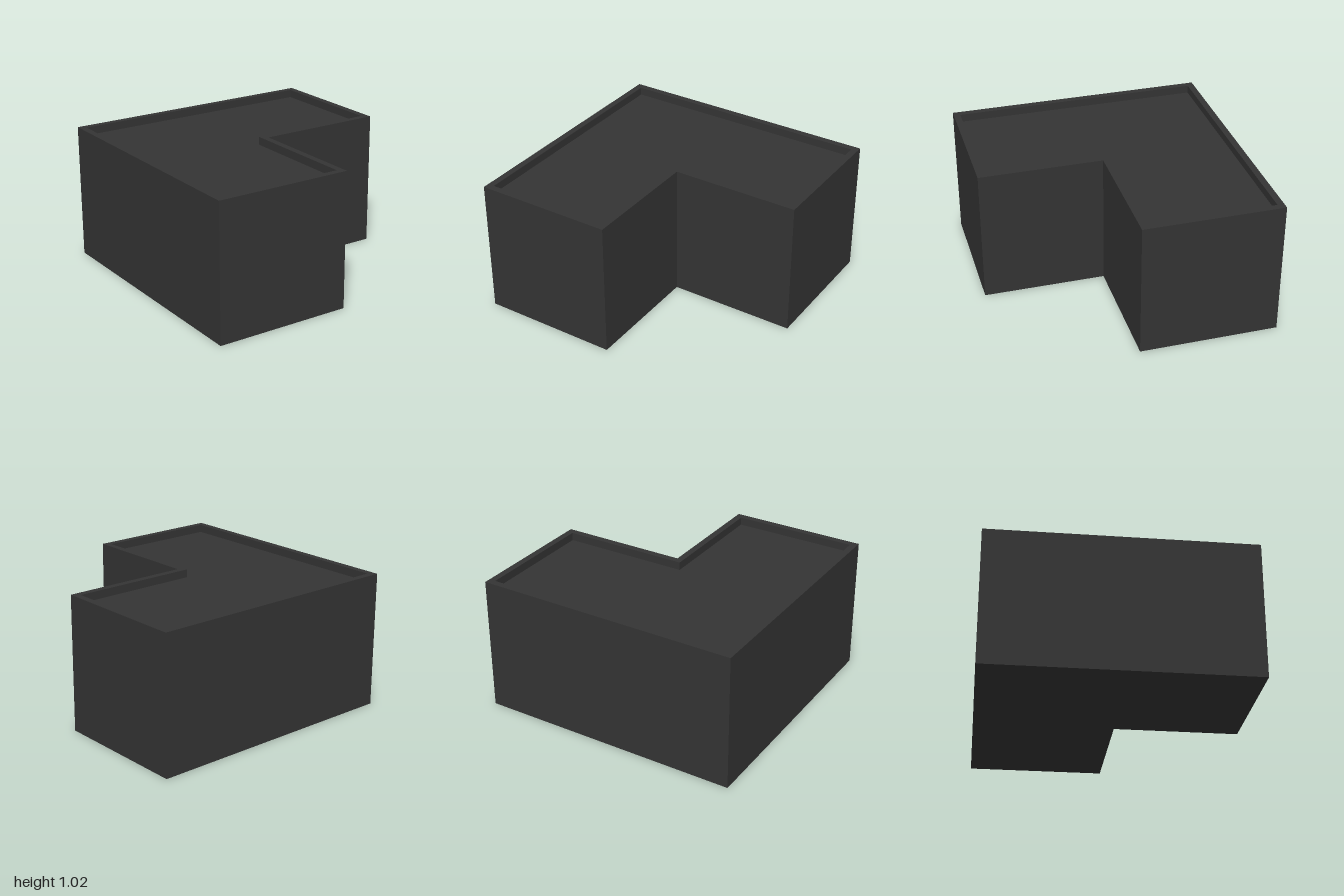
import * as THREE from 'three';

const ROOF_Y = 0.965, TOP_Y = 1.025, WALL = 0.05;

// L-shaped outline, shrunk by d on every side (shape y is -z)
function outline(d, Type) {
  const x0 = -1 + d, x1 = 0.035 - d, x2 = 1 - d;
  const z0 = -0.98 + d, z1 = 0.055 - d, z2 = 0.98 - d;
  const pts = [[x0, z0], [x0, z2], [x1, z2], [x1, z1], [x2, z1], [x2, z0]];
  return new Type(pts.map(([x, z]) => new THREE.Vector2(x, -z)));
}

// Upright prism of a plan shape between two heights
function prism(name, shape, y0, y1, material) {
  const geo = new THREE.ExtrudeGeometry(shape, { depth: y1 - y0, bevelEnabled: false });
  geo.rotateX(-Math.PI / 2);
  geo.translate(0, y0, 0);
  const mesh = new THREE.Mesh(geo, material);
  mesh.name = name;
  return mesh;
}

export function createModel() {
  const model = new THREE.Group();
  model.name = 'lShapedBuilding';
  const charcoal = new THREE.MeshStandardMaterial({ color: 0x343434 });
  charcoal.name = 'charcoal';

  // Solid body up to the flat roof
  model.add(prism('body', outline(0, THREE.Shape), 0, ROOF_Y, charcoal));

  // Low rim around the roof
  const rim = outline(0, THREE.Shape);
  rim.holes.push(outline(WALL, THREE.Path));
  model.add(prism('parapet', rim, ROOF_Y, TOP_Y, charcoal));

  return model;
}
